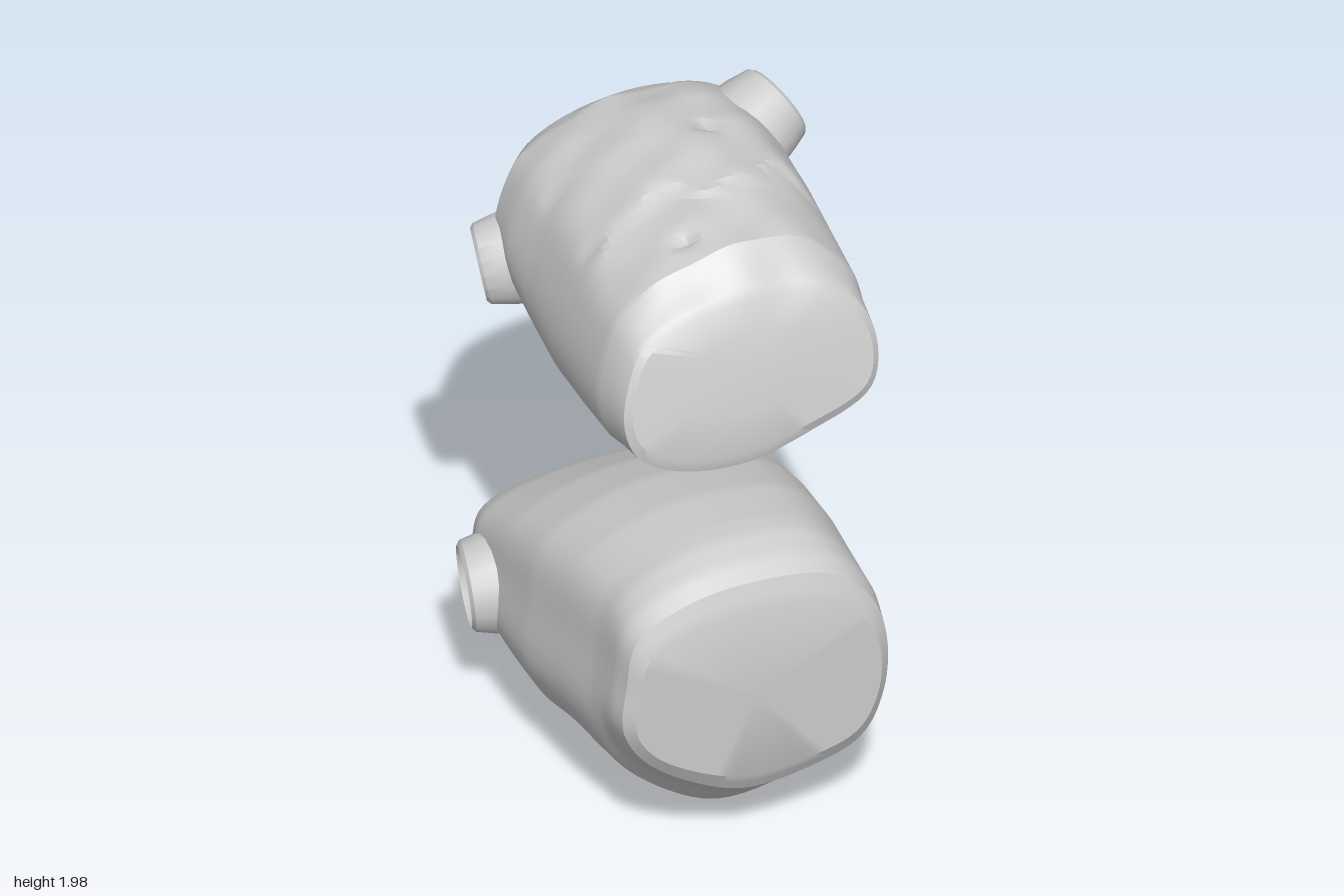
import * as THREE from 'three';
import { toCreasedNormals } from 'three/addons/utils/BufferGeometryUtils.js';

const material = new THREE.MeshStandardMaterial({ color: 0xcccccc, side: THREE.DoubleSide });
const SEGMENTS = 72;

// Closed outline, clockwise from the front, scaled to a 0..1 box
function unitOutline(points) {
  const curve = new THREE.CatmullRomCurve3(points.map(([x, y]) => new THREE.Vector3(x, y, 0)), true, 'centripetal');
  const samples = curve.getSpacedPoints(SEGMENTS).slice(0, SEGMENTS);
  const box = new THREE.Box3().setFromPoints(samples);
  const size = box.getSize(new THREE.Vector3());
  return samples.map((p) => p.sub(box.min).divide(new THREE.Vector3(size.x, size.y, 1)));
}

// Loft through rings [z, x0, x1, y0, y1, slant, dip].
// slant leans a ring backwards at its top, dip scoops its top and bottom forwards.
function loft(outline, rings, steps, shape) {
  const positions = [];
  const index = [];
  const rows = [];
  rings.forEach((ring, k) => {
    const next = rings[k + 1];
    if (!next) return rows.push(ring);
    const count = Math.max(1, Math.ceil(Math.abs(next[0] - ring[0]) * steps));
    for (let s = 0; s < count; s++) rows.push(ring.map((a, n) => THREE.MathUtils.lerp(a, next[n], s / count)));
  });
  rows.forEach(([z, x0, x1, y0, y1, slant, dip], j) => {
    outline.forEach((p, i) => {
      const v = new THREE.Vector3(
        x0 + (x1 - x0) * p.x,
        y0 + (y1 - y0) * p.y,
        z - slant * p.y + dip * (2 * p.y - 1) ** 2
      );
      shape(v);
      positions.push(v.x, v.y, v.z);
      if (j === rows.length - 1) return;
      const a = j * SEGMENTS + i;
      const b = j * SEGMENTS + ((i + 1) % SEGMENTS);
      index.push(a, b, a + SEGMENTS, b, b + SEGMENTS, a + SEGMENTS);
    });
  });
  const geometry = new THREE.BufferGeometry();
  geometry.setAttribute('position', new THREE.Float32BufferAttribute(positions, 3));
  geometry.setIndex(index);
  return toCreasedNormals(geometry, 0.5);
}

// Short arm stump with a hollow end
function addSleeve(group, name, center, direction, radiusY, radiusZ) {
  const profile = [[1.25, -0.14], [1.12, -0.04], [1, 0.02], [0.9, 0.03], [0.78, -0.01], [0.6, -0.04], [0, -0.05]]
    .map(([r, h]) => new THREE.Vector2(r, h));
  const geometry = new THREE.LatheGeometry(profile, 18);
  geometry.scale(radiusY, 1, radiusZ);
  const mesh = new THREE.Mesh(toCreasedNormals(geometry, 0.6), material);
  mesh.name = name;
  mesh.position.set(...center);
  mesh.quaternion.setFromUnitVectors(new THREE.Vector3(0, 1, 0), new THREE.Vector3(...direction).normalize());
  group.add(mesh);
}

function makeTorso(name, outline, rings, shape) {
  const group = new THREE.Group();
  group.name = name;
  const body = new THREE.Mesh(loft(unitOutline(outline), rings, 40, shape), material);
  body.name = name + 'Body';
  group.add(body);
  return group;
}

export function createModel() {
  const model = new THREE.Group();
  model.name = 'stackedTorsos';

  // Lower torso: flat waist at the front, neck hollow at the back
  const lower = makeTorso('lowerTorso',
    [[-0.42, 0.4], [-0.41, 0.6], [-0.37, 0.82], [-0.2, 0.94], [0.02, 0.98], [0.28, 0.94], [0.41, 0.8],
      [0.47, 0.6], [0.46, 0.32], [0.38, 0.13], [0.2, 0.04], [0, 0.01], [-0.15, 0.07], [-0.34, 0.23]],
    [
      [0.61, 0.02, 0.02, 0.55, 0.55, 0, 0],
      [0.61, -0.34, 0.39, 0.28, 0.84, 0, 0],
      [0.58, -0.37, 0.42, 0.22, 0.92, 0, 0],
      [0.52, -0.38, 0.43, 0.19, 0.955, 0, 0],
      [0.44, -0.38, 0.43, 0.12, 0.98, 0, 0],
      [0.37, -0.385, 0.44, 0.04, 0.98, 0, 0],
      [0.2, -0.41, 0.455, 0.025, 0.965, 0, 0],
      [0, -0.44, 0.47, 0.005, 0.915, 0, 0],
      [-0.2, -0.45, 0.48, 0.05, 0.83, 0, 0],
      [-0.4, -0.455, 0.485, 0.14, 0.71, 0, 0],
      [-0.47, -0.43, 0.46, 0.18, 0.66, 0, 0],
      [-0.54, -0.31, 0.34, 0.2, 0.61, 0, 0.02],
      [-0.6, -0.19, 0.22, 0.2, 0.56, 0, 0.06],
      [-0.58, -0.17, 0.2, 0.22, 0.54, 0, 0.06],
      [-0.48, -0.14, 0.17, 0.25, 0.51, 0, 0.02],
      [-0.44, 0.015, 0.015, 0.38, 0.38, 0, 0],
    ],
    // sunken folds along the lower front edge
    (v) => {
      if (v.y < 0.35 && v.z > -0.3 && v.z < 0.55) {
        v.x *= 1 - 0.04 * Math.sin(v.z * 14) * (0.35 - v.y) / 0.35;
      }
    });
  addSleeve(lower, 'lowerRightSleeve', [-0.46, 0.42, -0.33], [-1, -0.1, -0.2], 0.13, 0.13);
  addSleeve(lower, 'lowerLeftSleeve', [0.45, 0.42, -0.4], [1, 0, -0.35], 0.14, 0.1);
  model.add(lower);

  // Upper torso: rolled to one side, with a slanted waist and worn upper face
  const pits = [[-0.3, -0.17], [0.15, -0.13], [-0.07, 0.28], [-0.28, 0.1]];
  const upper = makeTorso('upperTorso',
    [[-0.37, 1.48], [-0.34, 1.68], [-0.28, 1.82], [-0.12, 1.94], [0.1, 1.99], [0.29, 1.94], [0.4, 1.79],
      [0.44, 1.6], [0.4, 1.42], [0.2, 1.3], [0, 1.23], [-0.2, 1.25], [-0.33, 1.34]],
    [
      [0.55, 0.03, 0.03, 1.62, 1.62, 0, 0],
      [0.6, -0.33, 0.39, 1.38, 1.83, 0.12, 0],
      [0.59, -0.35, 0.41, 1.34, 1.86, 0.13, 0],
      [0.49, -0.36, 0.41, 1.31, 1.93, 0.1, 0],
      [0.4, -0.37, 0.42, 1.285, 1.955, 0.03, 0],
      [0.2, -0.37, 0.43, 1.25, 1.975, 0, 0],
      [0, -0.37, 0.44, 1.225, 1.99, 0, 0],
      [-0.15, -0.37, 0.44, 1.25, 1.99, 0, 0],
      [-0.3, -0.38, 0.44, 1.32, 1.97, 0, 0],
      [-0.41, -0.37, 0.42, 1.37, 1.94, 0, 0],
      [-0.48, -0.32, 0.36, 1.41, 1.88, 0, 0],
      [-0.55, -0.2, 0.22, 1.45, 1.82, 0, 0.03],
      [-0.56, -0.18, 0.2, 1.46, 1.81, 0, 0.04],
      [-0.46, -0.15, 0.17, 1.49, 1.78, 0, 0.02],
      [-0.4, 0.01, 0.01, 1.64, 1.64, 0, 0],
    ],
    // ragged step, wrinkles and small pits on the upper face
    (v) => {
      const height = THREE.MathUtils.smoothstep(v.y, 1.7, 1.9);
      if (v.z < -0.45 || height === 0) return;
      const edge = 0.1 + 0.04 * Math.sin(v.x * 16) + 0.02 * Math.sin(v.x * 37);
      let drop = 0.018 * THREE.MathUtils.smoothstep(v.z, edge, edge + 0.04);
      drop += 0.008 * (1 + Math.sin(v.x * 23 + v.z * 9) * Math.sin(v.z * 19 - v.x * 7));
      for (const [x, z] of pits) drop += 0.03 * Math.exp(-((v.x - x) ** 2 + (v.z - z) ** 2) / 0.0008);
      v.y -= drop * height;
    });
  addSleeve(upper, 'upperLeftSleeve', [0.42, 1.83, -0.33], [0.85, 0.4, -0.25], 0.12, 0.12);
  addSleeve(upper, 'upperRightSleeve', [-0.39, 1.46, -0.4], [-1, -0.2, -0.25], 0.12, 0.1);
  model.add(upper);

  return model;
}
